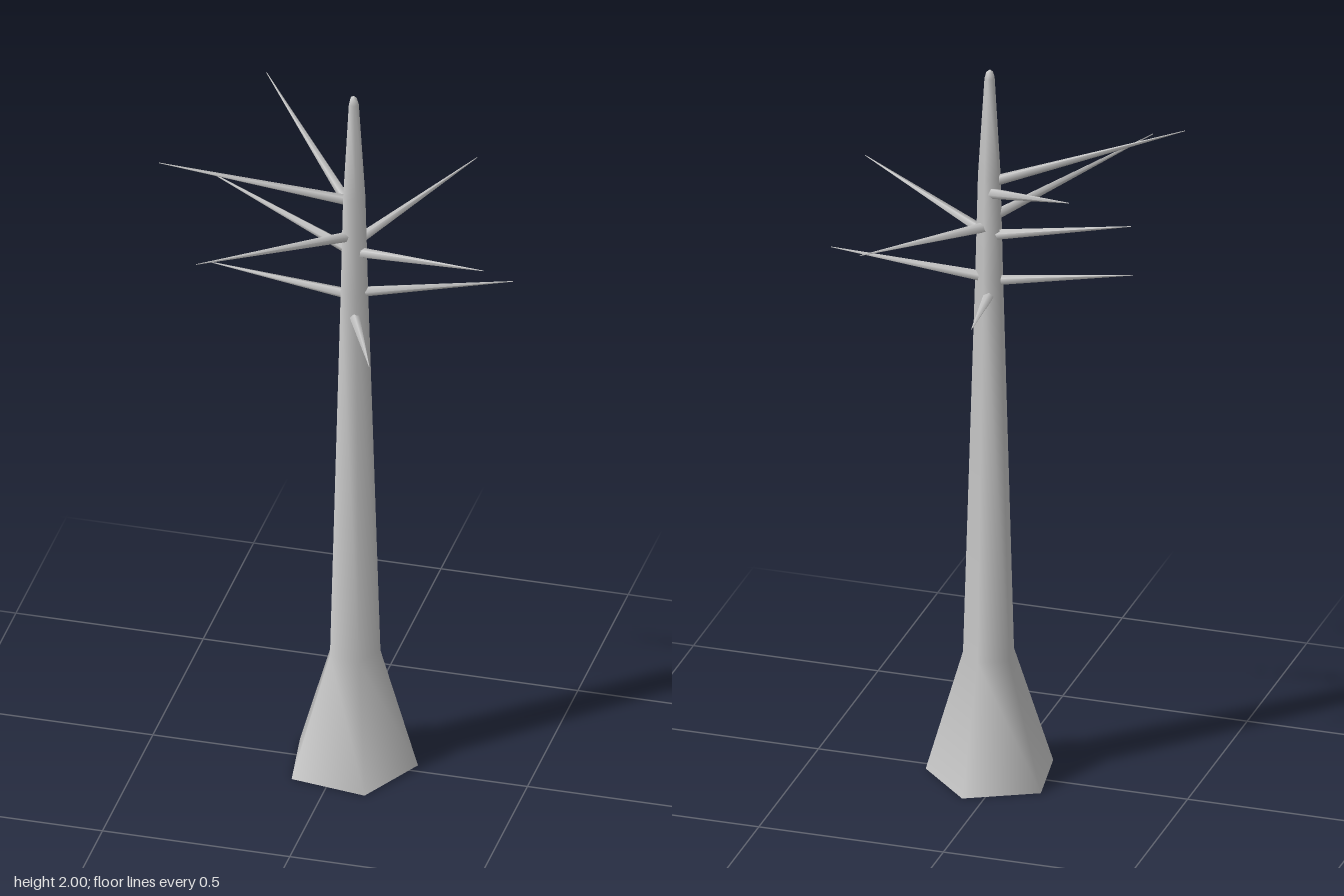
import * as THREE from 'three';

const material = new THREE.MeshStandardMaterial({ color: 0xcccccc, side: THREE.DoubleSide });

// Trunk axis leans slightly towards +x above the flared foot
const axisX = (y) => 0.027 + 0.008 * Math.min(1, y / 0.34);

function makeTrunk() {
  // radius, height from the open foot to the rounded tip
  const profile = [
    [0.175, 0], [0.07, 0.34], [0.038, 1.42], [0.031, 1.7], [0.014, 1.975], [0.009, 1.993], [0, 2],
  ].map(([r, y]) => new THREE.Vector2(r, y));
  const geometry = new THREE.LatheGeometry(profile, 5, THREE.MathUtils.degToRad(27));
  const pos = geometry.attributes.position;
  for (let i = 0; i < pos.count; i++) {
    pos.setX(i, pos.getX(i) + axisX(pos.getY(i)));
    pos.setZ(i, pos.getZ(i) - 0.002);
  }
  const trunk = new THREE.Mesh(geometry, material);
  trunk.name = 'trunk';
  return trunk;
}

// Tapered spike from the trunk axis to its tip
function makeBranch(startY, tip) {
  const start = new THREE.Vector3(axisX(startY), startY, -0.005);
  const along = new THREE.Vector3(...tip).sub(start);
  const length = along.length();
  const geometry = new THREE.CylinderGeometry(0.001, 0.015, length, 5, 1, true);
  geometry.translate(0, length / 2, 0);
  const branch = new THREE.Mesh(geometry, material);
  branch.position.copy(start);
  branch.quaternion.setFromUnitVectors(new THREE.Vector3(0, 1, 0), along.normalize());
  branch.name = 'branch';
  return branch;
}

export function createModel() {
  const tree = new THREE.Group();
  tree.name = 'bareTree';
  tree.add(makeTrunk());

  // height on the trunk, tip position
  const branches = [
    [1.68, [-0.44, 1.82, 0.163]],
    [1.65, [-0.29, 1.82, -0.348]],
    [1.58, [-0.275, 1.68, 0.405]],
    [1.53, [-0.378, 1.655, -0.098]],
    [1.4, [-0.345, 1.458, 0.023]],
    [1.555, [0.257, 1.617, -0.405]],
    [1.53, [0.425, 1.628, 0.16]],
    [1.41, [0.443, 1.467, -0.07]],
    [1.345, [0.175, 1.42, 0.363]],
    [1.36, [-0.038, 1.44, -0.382]],
  ];
  for (const [y, tip] of branches) tree.add(makeBranch(y, tip));
  return tree;
}
